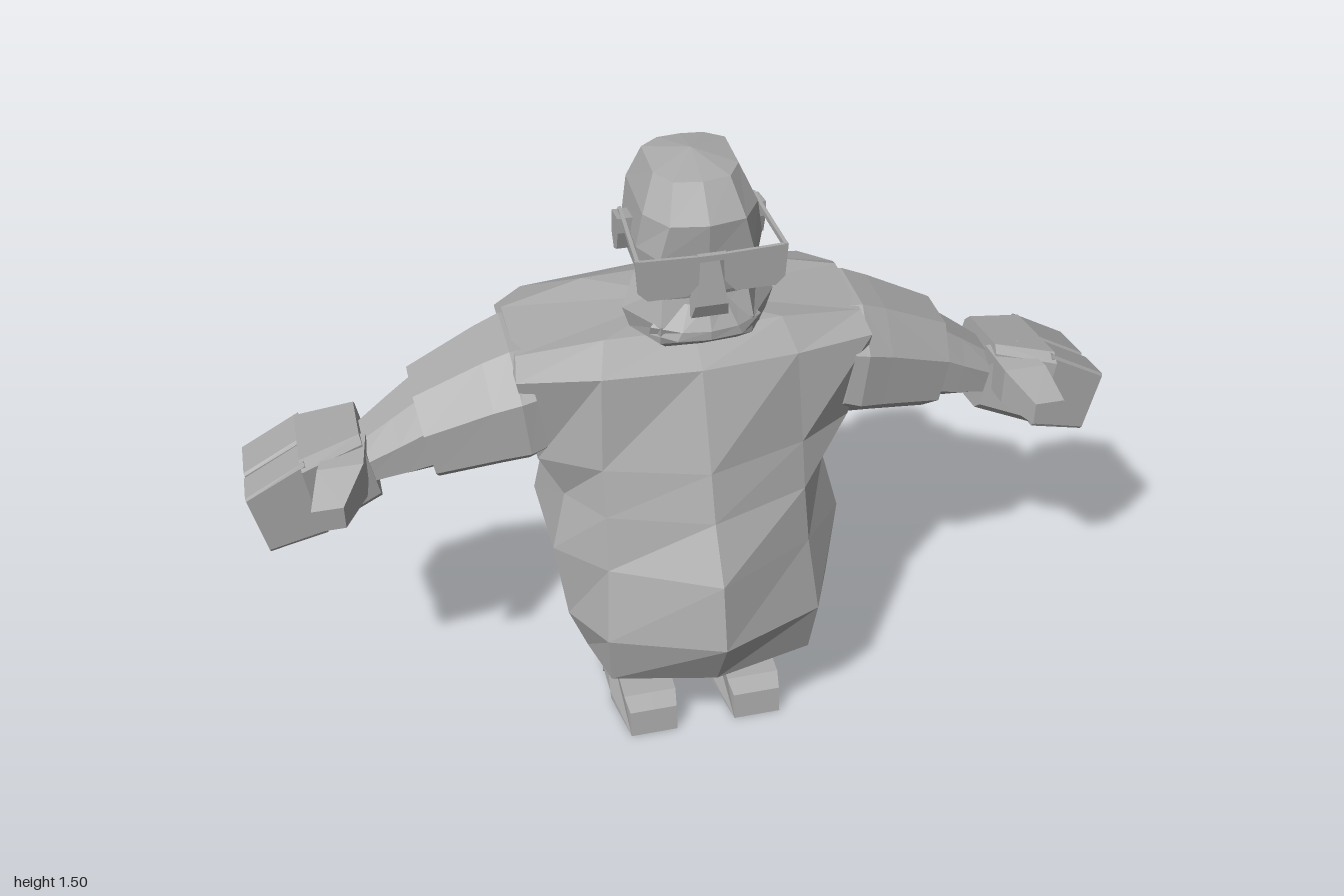
import * as THREE from 'three';

const grey = new THREE.MeshStandardMaterial({ color: 0xaaaaaa, flatShading: true });
grey.name = 'plain grey';

// Skin closed rings of [x, y, z] into a solid; ends close on a centre point
function loft(rings, startCentre, endCentre) {
  const mean = (r) => [0, 1, 2].map((k) => r.reduce((s, p) => s + p[k], 0) / r.length);
  const n = rings[0].length, last = rings[rings.length - 1];
  const a = startCentre || mean(rings[0]), b = endCentre || mean(last);
  const tris = [];
  for (let j = 0; j < n; j++) {
    const k = (j + 1) % n;
    tris.push([a, rings[0][k], rings[0][j]], [b, last[j], last[k]]);
    for (let i = 0; i + 1 < rings.length; i++) {
      const r = rings[i], s = rings[i + 1];
      tris.push([r[j], r[k], s[k]], [r[j], s[k], s[j]]);
    }
  }
  // Turn every face outward by checking the enclosed volume
  const v = tris.reduce((sum, [p, q, r]) => sum
    + (p[0] - a[0]) * ((q[1] - a[1]) * (r[2] - a[2]) - (q[2] - a[2]) * (r[1] - a[1]))
    + (p[1] - a[1]) * ((q[2] - a[2]) * (r[0] - a[0]) - (q[0] - a[0]) * (r[2] - a[2]))
    + (p[2] - a[2]) * ((q[0] - a[0]) * (r[1] - a[1]) - (q[1] - a[1]) * (r[0] - a[0])), 0);
  const points = tris.flatMap(([p, q, r]) => (v < 0 ? [p, r, q] : [p, q, r])).flat();
  const g = new THREE.BufferGeometry();
  g.setAttribute('position', new THREE.Float32BufferAttribute(points, 3));
  g.computeVertexNormals();
  return g;
}

// Symmetric ring: half outline [x, z] from front to back, height sloping front to back
function bodyRing(yFront, yBack, half, drop = 0) {
  const zf = half[0][1], zb = half[half.length - 1][1];
  const pts = half.map(([x, z]) =>
    [x, yBack + (yFront - yBack) * (z - zb) / (zf - zb) - drop * Math.max(0, x - 0.2), z]);
  const other = pts.slice(1, -1).reverse().map(([x, y, z]) => [-x, y, z]);
  return [...pts, ...other];
}

// Eight sided ring across a limb, from its top edge to its bottom edge
function limbRing([xt, yt, xb, yb, zf, zb], cut = 0.27, tilt = 0) {
  const c = cut;
  return [[c, 0], [1 - c, 0], [1, c], [1, 1 - c], [1 - c, 1], [c, 1], [0, 1 - c], [0, c]].map(([u, t]) => {
    const z = zb + (zf - zb) * u;
    return [xt + (xb - xt) * t, yt + (yb - yt) * t + tilt * (z + 0.07), z];
  });
}

// Four sided ring lying level or upright around a centre
const flatRing = (x, y, z, w, d) => [[x - w, y, z - d], [x + w, y, z - d], [x + w, y, z + d], [x - w, y, z + d]];
const uprightRing = (x, y, z, w, h) => [[x - w, y - h, z], [x + w, y - h, z], [x + w, y + h, z], [x - w, y + h, z]];

// Level eight sided ring
const roundRing = (x, y, z, w, d) => Array.from({ length: 8 }, (_, i) => {
  const t = (i + 0.5) * Math.PI / 4;
  return [x + w * 1.08 * Math.cos(t), y, z + d * 1.08 * Math.sin(t)];
});

function add(parent, name, geometry) {
  const m = new THREE.Mesh(geometry, grey);
  m.name = name;
  parent.add(m);
  return m;
}

// Add a part on the left and its mirror on the right
function addPair(parent, name, geometry) {
  add(parent, name + 'Left', geometry);
  const g = geometry.index ? geometry.toNonIndexed() : geometry.clone();
  g.scale(-1, 1, 1);
  const p = g.attributes.position;
  const a = new THREE.Vector3(), b = new THREE.Vector3();
  for (let i = 0; i < p.count; i += 3) {
    a.fromBufferAttribute(p, i + 1);
    b.fromBufferAttribute(p, i + 2);
    p.setXYZ(i + 1, b.x, b.y, b.z);
    p.setXYZ(i + 2, a.x, a.y, a.z);
  }
  g.computeVertexNormals();
  add(parent, name + 'Right', g);
}

// Shoe: side outline pushed out sideways, narrowed at the toe, heel and top
function shoeGeometry() {
  const s = new THREE.Shape([[0.18, 0], [0.04, 0], [0.03, 0.016], [-0.05, 0.016], [-0.06, 0], [-0.145, 0], [-0.15, 0.075],
    [-0.105, 0.118], [0, 0.1], [0.13, 0.088], [0.17, 0.068]].map(([z, y]) => new THREE.Vector2(-z, y)));
  const g = new THREE.ExtrudeGeometry(s, { depth: 0.16, steps: 2, bevelEnabled: false });
  g.rotateY(Math.PI / 2);
  const p = g.attributes.position;
  for (let i = 0; i < p.count; i++) {
    const y = p.getY(i), z = p.getZ(i);
    let x = p.getX(i) - 0.08;
    if (z > 0.15) x *= 0.72;
    if (z < -0.14) x *= 0.8;
    if (y > 0.08) x *= 0.8;
    p.setX(i, x + 0.13);
  }
  g.computeVertexNormals();
  return g;
}

export function createModel() {
  const model = new THREE.Group();
  model.name = 'stoutFigure';

  // Torso with round belly
  add(model, 'torso', loft([
    bodyRing(0.25, 0.215, [[0, 0.28], [0.24, 0.22], [0.27, 0.08], [0.26, -0.1], [0.13, -0.18], [0, -0.2]]),
    bodyRing(0.41, 0.3, [[0, 0.365], [0.25, 0.25], [0.315, 0.1], [0.3, -0.15], [0.2, -0.25], [0, -0.29]]),
    bodyRing(0.57, 0.52, [[0, 0.33], [0.235, 0.2], [0.34, 0.08], [0.34, -0.18], [0.25, -0.31], [0, -0.365]]),
    bodyRing(0.69, 0.69, [[0, 0.25], [0.23, 0.17], [0.305, 0.06], [0.305, -0.18], [0.25, -0.3], [0, -0.355]]),
    bodyRing(0.8, 0.8, [[0, 0.21], [0.23, 0.14], [0.36, 0.06], [0.36, -0.19], [0.27, -0.29], [0, -0.345]]),
    bodyRing(1.02, 1.04, [[0, 0.125], [0.22, 0.11], [0.4, 0.08], [0.4, -0.22], [0.33, -0.28], [0, -0.32]]),
    bodyRing(1.08, 1.09, [[0, 0.05], [0.2, 0.045], [0.39, 0.02], [0.39, -0.17], [0.2, -0.2], [0, -0.21]], 0.15),
  ], [0, 0.215, -0.05], [0, 1.09, -0.08]));

  // Neck
  add(model, 'neck', loft([
    bodyRing(1.06, 1.08, [[0, 0.06], [0.09, 0.03], [0.11, -0.08], [0, -0.2]]),
    bodyRing(1.17, 1.22, [[0, 0.04], [0.07, 0.02], [0.07, -0.06], [0, -0.11]]),
  ]));

  // Head
  const head = new THREE.Group();
  head.name = 'head';
  model.add(head);
  add(head, 'skull', loft([
    bodyRing(1.13, 1.19, [[0, 0.12], [0.08, 0.12], [0.1, 0.06], [0.09, -0.05], [0.05, -0.09], [0, -0.1]]),
    bodyRing(1.24, 1.25, [[0, 0.16], [0.09, 0.15], [0.125, 0.08], [0.125, -0.06], [0.07, -0.12], [0, -0.13]]),
    bodyRing(1.33, 1.33, [[0, 0.175], [0.1, 0.16], [0.135, 0.09], [0.13, -0.07], [0.07, -0.125], [0, -0.133]]),
    bodyRing(1.41, 1.41, [[0, 0.18], [0.08, 0.165], [0.122, 0.1], [0.12, -0.07], [0.07, -0.12], [0, -0.13]]),
    bodyRing(1.48, 1.485, [[0, 0.12], [0.06, 0.11], [0.09, 0.06], [0.09, -0.05], [0.05, -0.08], [0, -0.085]]),
  ], null, [0, 1.505, 0.015]));
  add(head, 'beard', loft([
    bodyRing(1.09, 1.1, [[0, 0.12], [0.08, 0.115], [0.1, 0.08], [0, 0.05]]),
    bodyRing(1.125, 1.14, [[0, 0.165], [0.1, 0.155], [0.15, 0.08], [0, 0.0]]),
    bodyRing(1.17, 1.19, [[0, 0.175], [0.1, 0.165], [0.165, 0.08], [0, 0.0]]),
    bodyRing(1.25, 1.25, [[0, 0.15], [0.09, 0.14], [0.135, 0.06], [0, 0.0]]),
  ]));
  add(head, 'moustache', loft([
    bodyRing(1.15, 1.14, [[0, 0.2], [0.07, 0.19], [0.12, 0.14], [0, 0.1]]),
    bodyRing(1.17, 1.165, [[0, 0.2], [0.06, 0.19], [0.12, 0.15], [0, 0.1]]),
    bodyRing(1.22, 1.21, [[0, 0.17], [0.04, 0.16], [0.07, 0.14], [0, 0.1]]),
  ]));
  add(head, 'nose', loft([
    flatRing(0, 1.2, 0.155, 0.04, 0.03),
    flatRing(0, 1.235, 0.165, 0.035, 0.035),
    flatRing(0, 1.34, 0.16, 0.018, 0.025),
  ]));
  // Ears
  const ear = new THREE.Shape([[-0.03, 0.365], [0.03, 0.355], [0.035, 0.3], [0.015, 0.27], [-0.015, 0.285], [-0.03, 0.33]]
    .map(([z, y]) => new THREE.Vector2(z, y + 1)));
  addPair(head, 'ear', new THREE.ExtrudeGeometry(ear, { depth: 0.04, bevelEnabled: false })
    .rotateY(Math.PI / 2).translate(0.12, 0, 0));

  // Glasses
  const glasses = new THREE.Group();
  glasses.name = 'glasses';
  head.add(glasses);
  const lens = new THREE.Shape([[0.025, 1.355], [0.16, 1.36], [0.155, 1.285], [0.135, 1.265], [0.05, 1.265], [0.028, 1.29]]
    .map(([x, y]) => new THREE.Vector2(x, y)));
  addPair(glasses, 'lens', new THREE.ExtrudeGeometry(lens, { depth: 0.008, bevelEnabled: false }).translate(0, 0, 0.193));
  addPair(glasses, 'temple', loft([uprightRing(0.155, 1.355, 0.2, 0.004, 0.006), uprightRing(0.145, 1.36, -0.02, 0.004, 0.006)]));
  add(glasses, 'bridge', new THREE.BoxGeometry(0.06, 0.014, 0.012).translate(0, 1.35, 0.198));

  // Arms: sleeve, forearm, hand with two finger blocks and a thumb
  addPair(model, 'sleeve', loft([
    [0.37, 1.055, 0.33, 0.78, 0.095, -0.25], [0.4, 1.055, 0.37, 0.765, 0.1, -0.25],
    [0.46, 1.03, 0.43, 0.755, 0.085, -0.24], [0.615, 0.955, 0.575, 0.73, 0.05, -0.21],
  ].map((r) => limbRing(r))));
  addPair(model, 'forearm', loft([
    [0.58, 0.955, 0.56, 0.755, 0.035, -0.2], [0.665, 0.895, 0.635, 0.742, 0.02, -0.18], [0.77, 0.82, 0.74, 0.73, 0.0, -0.15],
  ].map((r) => limbRing(r))));
  addPair(model, 'palm', loft([
    [0.74, 0.875, 0.705, 0.7, 0.01, -0.19], [0.875, 0.85, 0.845, 0.65, 0.055, -0.215],
  ].map((r) => limbRing(r, 0.1, 0.15))));
  for (const [name, zf, zb] of [['frontFinger', 0.045, -0.055], ['backFinger', -0.07, -0.205]]) {
    addPair(model, name, loft([
      [0.865, 0.85, 0.835, 0.65, zf, zb], [1.0, 0.775, 0.965, 0.62, zf, zb],
    ].map((r) => limbRing(r, 0.04, 0.15))));
  }
  addPair(model, 'thumb', loft([
    uprightRing(0.765, 0.825, -0.03, 0.04, 0.045),
    uprightRing(0.79, 0.81, 0.06, 0.05, 0.045),
    uprightRing(0.83, 0.77, 0.13, 0.035, 0.028),
  ]));

  // Legs and shoes
  addPair(model, 'leg', loft([
    roundRing(0.13, 0.09, -0.045, 0.06, 0.06),
    roundRing(0.135, 0.13, -0.04, 0.065, 0.065),
    roundRing(0.14, 0.25, -0.035, 0.09, 0.095),
  ]));
  addPair(model, 'shoe', shoeGeometry());
  return model;
}
